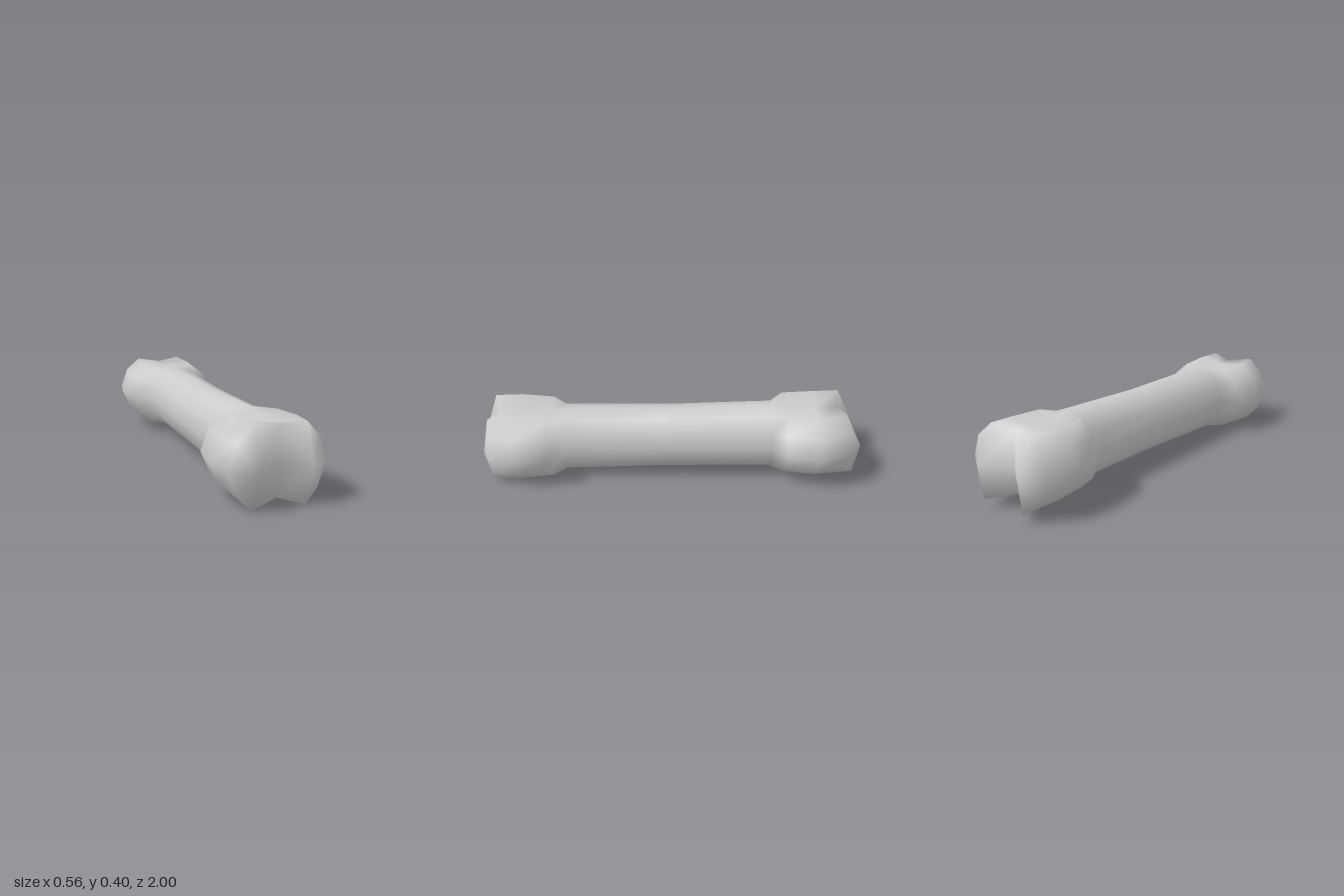
import * as THREE from 'three';

// Half outlines from top centre to bottom centre, in units of half width / half height
const SHAFT = [[0, 1], [0.5, 0.87], [0.87, 0.5], [1, 0], [0.87, -0.5], [0.5, -0.87], [0, -1]];
const KNOB = [[0, 0.9], [0.54, 1], [0.84, 0.62], [1, 0], [0.82, -0.6], [0.55, -1], [0, -0.85]];

// Cross-sections: z, left reach (-x), right reach (+x), top, bottom, knob amount
const SECTIONS = [
  [0.93, 0.25, 0.21, 0.37, 0.0, 1],
  [0.79, 0.28, 0.25, 0.365, 0.015, 1],
  [0.62, 0.255, 0.235, 0.365, 0.02, 0.75],
  [0.55, 0.17, 0.14, 0.37, 0.01, 0],
  [0.0, 0.155, 0.145, 0.37, 0.03, 0],
  [-0.54, 0.15, 0.16, 0.392, 0.035, 0],
  [-0.61, 0.25, 0.24, 0.39, 0.045, 0.75],
  [-0.77, 0.27, 0.28, 0.385, 0.05, 1],
  [-0.93, 0.24, 0.23, 0.4, 0.05, 1],
];

const N = 12;

// Twelve points round one section; the end sections are pulled in at the middle
function sectionPoints([z, left, right, top, bottom, knob]) {
  const mid = (top + bottom) / 2, half = (top - bottom) / 2;
  const points = [];
  for (let j = 0; j < N; j++) {
    const k = j <= 6 ? j : N - j;
    const reach = j <= 6 ? right : -left;
    const x = THREE.MathUtils.lerp(SHAFT[k][0], KNOB[k][0], knob) * reach;
    const y = mid + THREE.MathUtils.lerp(SHAFT[k][1], KNOB[k][1], knob) * half;
    let pz = z;
    if (Math.abs(z) > 0.9) {
      if (k === 0 || k === 6) pz = Math.sign(z) * 0.88;
      if (z < 0 && k === 5) pz = -0.98;
      if (z < 0 && k === 1) pz = -0.91;
    }
    points.push(x, y, pz);
  }
  return points;
}

function boneGeometry() {
  const positions = SECTIONS.flatMap(sectionPoints);
  const index = [];

  // Skin between neighbouring sections
  for (let i = 0; i < SECTIONS.length - 1; i++) {
    for (let j = 0; j < N; j++) {
      const a = i * N + j, b = i * N + (j + 1) % N;
      index.push(a, b, a + N, b, b + N, a + N);
    }
  }

  // End cap: two rounded tips with a notch between them
  const cap = (start, y, rightTip, leftTip, notch, front) => {
    const c = positions.length / 3;
    positions.push(0, y, notch, 0.13, y, rightTip, -0.13, y, leftTip);
    for (const [tip, first] of [[c + 1, 0], [c + 2, 6]]) {
      const loop = [c];
      for (let j = 0; j <= 6; j++) loop.push(start + (first + j) % N);
      loop.forEach((p, k) => {
        const q = loop[(k + 1) % loop.length];
        if (front) index.push(tip, q, p);
        else index.push(tip, p, q);
      });
    }
  };
  cap(0, 0.18, 0.97, 1.0, 0.9, true);
  cap((SECTIONS.length - 1) * N, 0.22, -1.0, -1.0, -0.9, false);

  const geometry = new THREE.BufferGeometry();
  geometry.setAttribute('position', new THREE.Float32BufferAttribute(positions, 3));
  geometry.setIndex(index);
  geometry.computeVertexNormals();
  return geometry;
}

export function createModel() {
  const group = new THREE.Group();
  group.name = 'bone';
  const bone = new THREE.Mesh(boneGeometry(), new THREE.MeshStandardMaterial({ color: 0xcccccc }));
  bone.name = 'boneBody';
  group.add(bone);
  return group;
}
